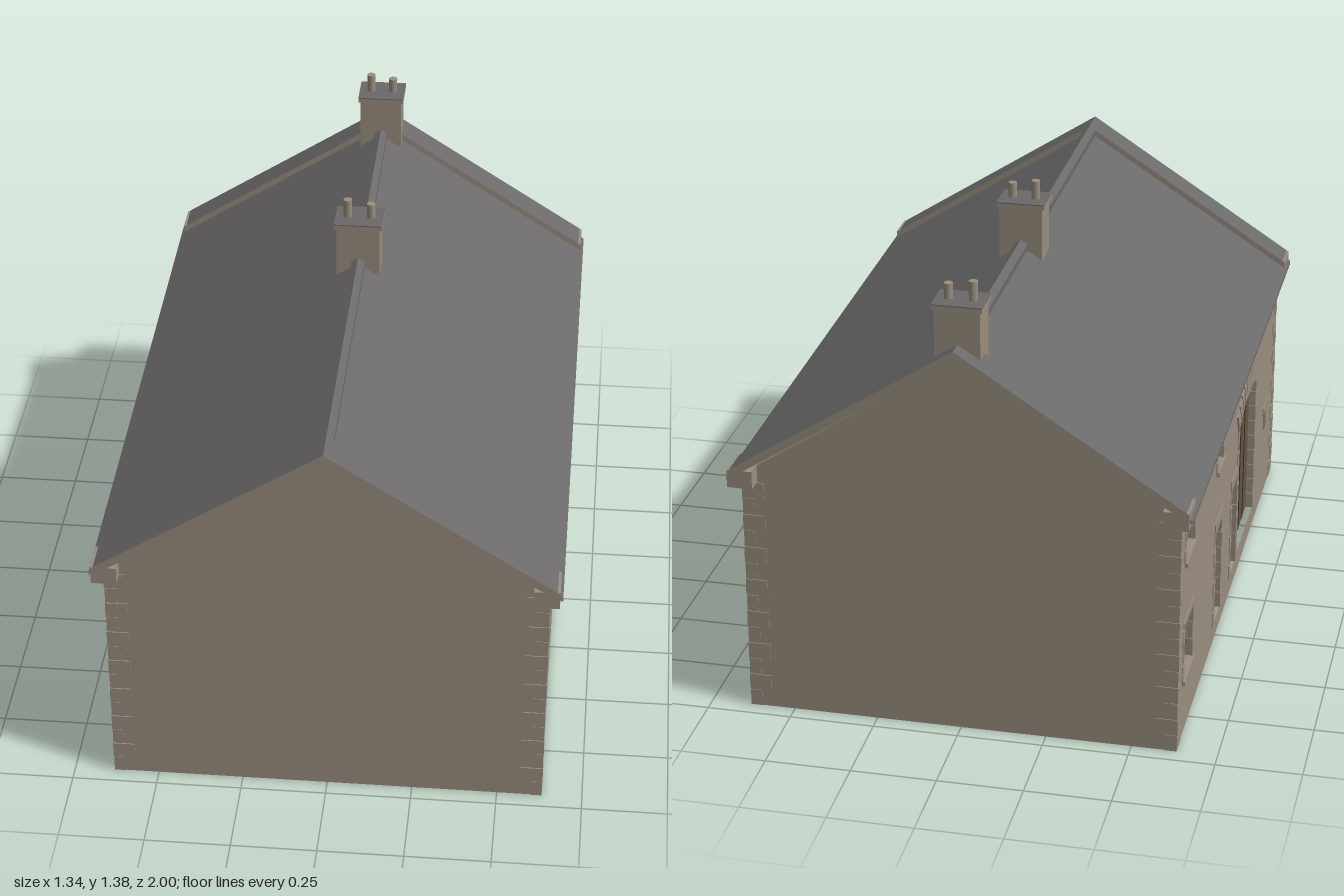
import * as THREE from 'three';

const mat = (name, color, side = THREE.FrontSide) => {
  const m = new THREE.MeshStandardMaterial({ color, side });
  m.name = name;
  return m;
};

export function createModel() {
  const stone = mat('stone', 0x9a8f80, THREE.DoubleSide);
  const slate = mat('slate', 0x6b696a);
  const timber = mat('timber', 0x62563f);
  const pane = mat('pane', 0x5c5244);
  const sash = mat('sash', 0x83786a);
  const gap = mat('shadowGap', 0x3d352a);

  const root = new THREE.Group();
  root.name = 'stoneFarmhouse';
  const add = (parent, name, geo, m) => {
    const mesh = new THREE.Mesh(geo, m);
    mesh.name = name;
    parent.add(mesh);
    return mesh;
  };
  // box given by its two extreme corners
  const box = (parent, name, m, x0, x1, y0, y1, z0, z1) => {
    const mesh = add(parent, name, new THREE.BoxGeometry(Math.abs(x1 - x0), y1 - y0, z1 - z0), m);
    mesh.position.set((x0 + x1) / 2, (y0 + y1) / 2, (z0 + z1) / 2);
    return mesh;
  };
  // inverted V section running along z
  const chevron = (name, m, top, thick, half, slope, z0, z1) => {
    const low = top - slope * half;
    const shape = new THREE.Shape([
      [0, top], [-half, low], [-half, low - thick], [0, top - thick], [half, low - thick], [half, low],
    ].map(p => new THREE.Vector2(...p)));
    const geo = new THREE.ExtrudeGeometry(shape, { depth: z1 - z0, bevelEnabled: false });
    geo.translate(0, 0, z0);
    return add(root, name, geo, m);
  };

  const W = 0.63, L = 0.95, EAVE = 0.75;

  // gable walls
  for (const s of [1, -1]) {
    const gable = new THREE.Shape([[-W, 0], [W, 0], [W, EAVE], [0, 1.165], [-W, EAVE]]
      .map(p => new THREE.Vector2(...p)));
    const mesh = add(root, s > 0 ? 'frontGable' : 'backGable', new THREE.ShapeGeometry(gable), stone);
    mesh.position.z = s * L;
    if (s < 0) mesh.rotation.y = Math.PI;
  }

  // openings per side: [kind, z0, z1, y0, y1]
  const openings = {
    '1': [
      ['window', -0.58, -0.475, 0.555, 0.69],
      ['window', -0.585, -0.47, 0.215, 0.37],
      ['vent', 0.28, 0.36, 0.575, 0.65],
    ],
    '-1': [
      ['window', -0.85, -0.71, 0.56, 0.69],
      ['window', -0.85, -0.71, 0.18, 0.35],
      ['window', -0.285, -0.19, 0.575, 0.69],
      ['door', -0.29, -0.18, 0.06, 0.37],
      ['door', 0.03, 0.13, 0.06, 0.36],
      ['barnDoor', 0.16, 0.5, 0.07, 0.54],
      ['vent', 0.72, 0.78, 0.24, 0.31],
    ],
  };

  // stones around an opening, modelled with outward = +x
  const IN = -0.035, OUT = 0.003;
  const surround = (g, kind, z0, z1, y0, y1) => {
    if (kind === 'vent') {
      box(g, 'ventLintel', stone, IN, OUT, y1, y1 + 0.025, z0 - 0.02, z1 + 0.02);
      return;
    }
    const n = Math.max(3, Math.round((y1 - y0) / 0.05)), h = (y1 - y0) / n;
    for (let i = 0; i < n; i++) {
      const w = i % 2 ? 0.018 : 0.03;
      box(g, 'jambStone', stone, IN, OUT - (i % 2) * 0.001, y0 + i * h, y0 + (i + 1) * h - 0.002, z0 - w, z0);
      box(g, 'jambStone', stone, IN, OUT - (i % 2) * 0.001, y0 + i * h, y0 + (i + 1) * h - 0.002, z1, z1 + w);
    }
    if (kind === 'barnDoor') {
      // fan of arch stones
      const count = 11, mid = (z0 + z1) / 2;
      for (let i = 0; i < count; i++) {
        const t = (i / (count - 1)) * 2 - 1;
        const v = box(g, 'archStone', stone, IN, OUT + 0.002, -0.035, 0.035, -0.018, 0.018);
        v.position.y = y1 + 0.057 - 0.045 * t * t;
        v.position.z = mid + t * 0.2;
        v.rotation.x = t * 0.5;
      }
      return;
    }
    box(g, 'lintel', stone, IN, OUT, y1, y1 + (kind === 'door' ? 0.035 : 0.02), z0 - 0.02, z1 + 0.02);
    if (kind === 'window') box(g, 'sill', stone, IN, 0.008, y0 - 0.014, y0, z0 - 0.018, z1 + 0.018);
  };

  // joinery set back into an opening
  const infill = (g, kind, z0, z1, y0, y1) => {
    const back = kind === 'vent' ? -0.012 : -0.024, face = back + 0.008, mid = (z0 + z1) / 2;
    const isWindow = kind === 'window';
    box(g, kind + 'Panel', isWindow ? pane : timber, back - 0.004, back + 0.004, y0, y1, z0, z1);
    if (isWindow) {
      const b = 0.006, ym = (y0 + y1) / 2;
      for (const z of [z0 + b / 2, mid, z1 - b / 2]) box(g, 'sashUpright', sash, back, face, y0, y1, z - b / 2, z + b / 2);
      for (const y of [y0 + b / 2, ym, y1 - b / 2]) box(g, 'sashRail', sash, back, face, y - b / 2, y + b / 2, z0, z1);
      return;
    }
    const n = kind === 'barnDoor' ? 4 : kind === 'door' ? 3 : 2, w = (z1 - z0) / n;
    for (let i = 1; i < n; i++) box(g, 'boardGap', gap, back, back + 0.006, y0, y1, z0 + i * w - 0.004, z0 + i * w + 0.004);
  };

  // long walls with their openings
  for (const s of [1, -1]) {
    const side = new THREE.Group();
    side.name = s > 0 ? 'leftSide' : 'rightSide';
    side.position.x = s * W;
    if (s < 0) side.rotation.y = Math.PI;
    root.add(side);
    const wall = new THREE.Shape([[-L, 0], [L, 0], [L, EAVE], [-L, EAVE]].map(p => new THREE.Vector2(...p)));
    for (const [kind, a, b, y0, y1] of openings[s]) {
      const z0 = s > 0 ? a : -b, z1 = s > 0 ? b : -a;
      wall.holes.push(new THREE.Path([[z0, y0], [z0, y1], [z1, y1], [z1, y0]].map(p => new THREE.Vector2(...p))));
      const g = new THREE.Group();
      g.name = kind;
      side.add(g);
      surround(g, kind, z0, z1, y0, y1);
      infill(g, kind, z0, z1, y0, y1);
    }
    // mirrored so that shape x runs along +z while the face points to +x
    const geo = new THREE.ShapeGeometry(wall).scale(-1, 1, 1).rotateY(Math.PI / 2);
    const idx = geo.index.array;
    for (let i = 0; i < idx.length; i += 3) [idx[i], idx[i + 1]] = [idx[i + 1], idx[i]];
    geo.computeVertexNormals();
    add(side, 'sideWall', geo, stone);
  }

  // corner quoins, alternating long and short
  for (const sx of [1, -1]) for (const sz of [1, -1]) {
    for (let i = 0; i < 14; i++) {
      const y0 = i * 0.052, a = i % 2 ? 0.065 : 0.035, b = i % 2 ? 0.035 : 0.065;
      const q = box(root, 'quoin', stone, 0, a, y0, y0 + 0.05, 0, b);
      const proud = i % 2 ? 0.003 : 0.002;
      q.position.x = sx * (W + proud - a / 2);
      q.position.z = sz * (L + proud - b / 2);
    }
  }

  // roof lining, slates, ridge, gable copings and kneelers
  chevron('roofLining', stone, 1.165, 0.004, W, 0.658, -L, L);
  chevron('slateRoof', [stone, slate], 1.185, 0.012, 0.668, 0.645, -0.985, 0.985);
  chevron('ridge', slate, 1.205, 0.028, 0.02, 0.645, -0.9, 0.9);
  for (const [z0, z1] of [[0.9, 1], [-1, -0.9]]) {
    chevron('coping', [stone, slate], 1.205, 0.028, 0.652, 0.645, z0, z1);
    for (const s of [1, -1]) box(root, 'kneeler', stone, s * 0.587, s * 0.66, 0.728, 0.782, z0, z1);
  }

  // chimneys with caps and pots
  for (const z of [-0.095, -0.9]) {
    const c = new THREE.Group();
    c.name = 'chimney';
    c.position.z = z;
    root.add(c);
    box(c, 'chimneyStack', stone, -0.065, 0.065, 1.1, 1.306, -0.05, 0.05);
    box(c, 'chimneyCap', stone, -0.072, 0.072, 1.305, 1.318, -0.057, 0.057);
    box(c, 'chimneyCapTop', slate, -0.072, 0.072, 1.318, 1.321, -0.057, 0.057);
    for (const [x, top] of [[-0.035, 1.377], [0.035, 1.366]]) {
      const pot = add(c, 'chimneyPot', new THREE.CylinderGeometry(0.013, 0.013, top - 1.32, 12), stone);
      pot.position.set(x, (top + 1.32) / 2, 0);
    }
  }
  return root;
}
